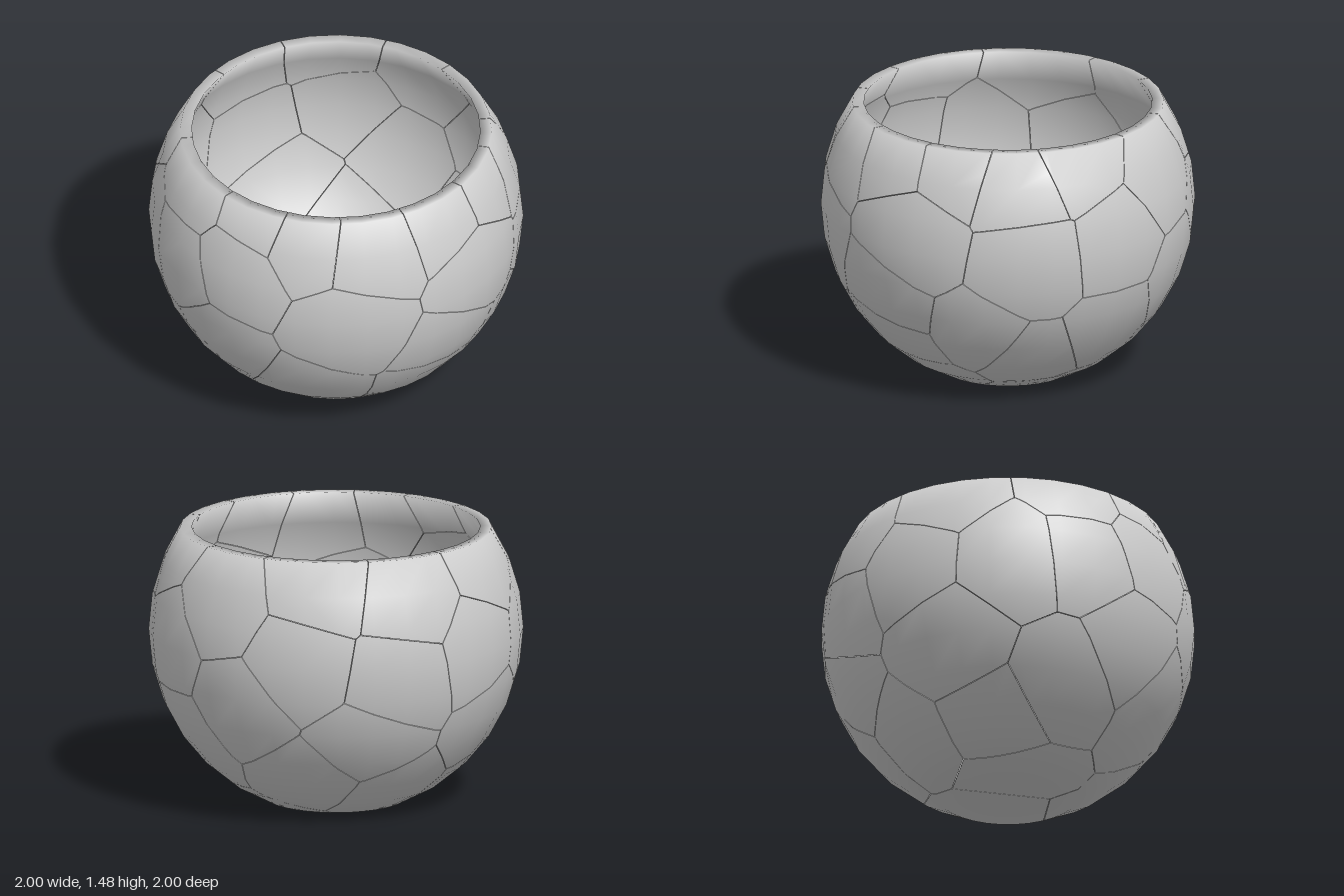
import * as THREE from 'three';

const SEG = 32, STEP = Math.PI / 16;
const CENTRE = 0.924, TOP = 1.48, INNER = 0.95, GAP = 0.0015;

// Middle point of every shard, upper rim to base
const SEEDS = [
  // rim
  [-0.6, 1.42, 0.55], [-0.25, 1.46, 0.8], [0.03, 1.4, 0.88], [0.38, 1.36, 0.82], [0.72, 1.44, 0.5],
  [0.83, 1.44, 0.18], [0.88, 1.36, -0.2], [0.72, 1.45, -0.44], [0.32, 1.23, -0.9], [-0.24, 1.37, -0.86],
  [-0.68, 1.29, -0.63], [-0.88, 1.38, -0.08],
  // belly
  [-0.36, 1.14, 0.91], [-0.72, 1.0, 0.69], [0.28, 0.86, 0.96], [0.9, 1.0, 0.42], [0.95, 0.87, -0.27],
  [0.69, 0.93, -0.72], [-0.16, 0.95, -0.98], [-0.67, 0.85, -0.74], [-0.96, 0.98, -0.27], [-0.94, 0.95, 0.3],
  // lower wall
  [-0.42, 0.57, 0.83], [0.02, 0.36, 0.82], [-0.6, 0.3, 0.5], [0.75, 0.57, 0.55], [0.62, 0.33, 0.5],
  [0.85, 0.43, 0.03], [0.73, 0.3, -0.22], [0.6, 0.44, -0.64], [0.2, 0.66, -0.94], [-0.47, 0.46, -0.75],
  [-0.9, 0.5, -0.06],
  // base
  [0.42, 0.1, 0.36], [-0.14, 0.24, -0.72], [-0.47, 0.14, -0.41], [-0.61, 0.14, 0.11], [0.2, -0.06, -0.15],
  [-0.22, -0.05, 0.1],
].map(([x, y, z]) => new THREE.Vector3(x, y - CENTRE, z).normalize());

// Wall section: outer and inner points [r, y] with their normals, from rim to base middle
function section() {
  const rows = [];
  for (let k = 3; k >= -6; k--) {
    const c = Math.cos(k * STEP), s = Math.sin(k * STEP);
    const n = new THREE.Vector2(c, s), m = new THREE.Vector2(-c, -s);
    let inner = [INNER * c, CENTRE + INNER * s];
    if (k === 3) {
      n.y += 0.7; m.y += 0.9;
      inner = [0.77, TOP];
    }
    if (k === -6) { n.y -= 0.6; m.y += 0.6; }
    rows.push({ o: [c, k === 3 ? TOP : Math.max(0, CENTRE + s)], i: inner, n: n.normalize(), m: m.normalize() });
  }
  const edge = rows[rows.length - 1];
  edge.o[1] = 0;
  for (const t of [0.5, 0]) {
    rows.push({
      o: [edge.o[0] * t, 0], i: [edge.i[0] * t, edge.i[1]],
      n: new THREE.Vector2(0, -1), m: new THREE.Vector2(0, 1),
    });
  }
  return rows;
}

// A wall vertex holds outer point, inner point and both normals
function wallVertex(row, lon) {
  const a = lon * 2 * Math.PI / SEG, s = Math.sin(a), c = Math.cos(a);
  const spin = (r, y) => new THREE.Vector3(r * s, y, r * c);
  return { o: spin(...row.o), i: spin(...row.i), n: spin(row.n.x, row.n.y), m: spin(row.m.x, row.m.y) };
}

const mix = (a, b, t) => ({
  o: a.o.clone().lerp(b.o, t), i: a.i.clone().lerp(b.i, t),
  n: a.n.clone().lerp(b.n, t).normalize(), m: a.m.clone().lerp(b.m, t).normalize(),
});

const side = (plane, v) => plane.x * v.o.x + plane.y * (v.o.y - CENTRE) + plane.z * v.o.z - GAP;

// Keep the part of a convex polygon in front of a plane
function clip(poly, plane) {
  const out = [];
  poly.forEach((a, k) => {
    const b = poly[(k + 1) % poly.length];
    const da = side(plane, a), db = side(plane, b);
    if (da >= 0) out.push(a);
    if ((da > 0 && db < 0) || (da < 0 && db > 0)) out.push(mix(a, b, da / (da - db)));
  });
  return out;
}

function shardGeometry(seed, cells) {
  const planes = SEEDS.filter((s) => s !== seed).map((s) => seed.clone().sub(s).normalize());
  const pos = [], nor = [];
  const tri = (points, normals) => points.forEach((p, k) => {
    pos.push(p.x, p.y, p.z);
    nor.push(normals[k].x, normals[k].y, normals[k].z);
  });

  for (const cell of cells) {
    let poly = cell;
    for (const plane of planes) {
      poly = clip(poly, plane);
      if (poly.length < 3) break;
    }
    if (poly.length < 3) continue;

    // outer and inner faces
    for (let k = 1; k < poly.length - 1; k++) {
      const a = poly[0], b = poly[k], c = poly[k + 1];
      tri([a.o, b.o, c.o], [a.n, b.n, c.n]);
      tri([a.i, c.i, b.i], [a.m, c.m, b.m]);
    }

    // rim and broken edges
    poly.forEach((a, k) => {
      const b = poly[(k + 1) % poly.length];
      if (a.o.distanceTo(b.o) < 1e-6) return;
      const rim = a.o.y > TOP - 1e-5 && b.o.y > TOP - 1e-5;
      const broken = planes.some((p) => Math.abs(side(p, a)) < 1e-6 && Math.abs(side(p, b)) < 1e-6);
      if (!rim && !broken) return;
      const flat = b.i.clone().sub(a.o).cross(b.o.clone().sub(a.i)).normalize();
      if (flat.dot(a.i.clone().sub(a.o).cross(b.i.clone().sub(a.o))) < 0) flat.negate();
      const [an, am, bm, bn] = rim ? [a.n, a.m, b.m, b.n] : [flat, flat, flat, flat];
      tri([a.o, a.i, b.i], [an, am, bm]);
      tri([a.o, b.i, b.o], [an, bm, bn]);
    });
  }

  const geometry = new THREE.BufferGeometry();
  geometry.setAttribute('position', new THREE.Float32BufferAttribute(pos, 3));
  geometry.setAttribute('normal', new THREE.Float32BufferAttribute(nor, 3));
  return geometry;
}

export function createModel() {
  const model = new THREE.Group();
  model.name = 'crackedBowl';
  const material = new THREE.MeshStandardMaterial({ color: 0xcccccc });

  // Whole bowl wall as a ring grid of cells
  const rows = section(), cells = [];
  for (let r = 0; r < rows.length - 1; r++) {
    for (let k = 0; k < SEG; k++) {
      cells.push([
        wallVertex(rows[r + 1], k), wallVertex(rows[r + 1], k + 1),
        wallVertex(rows[r], k + 1), wallVertex(rows[r], k),
      ]);
    }
  }

  // Break it into shards
  SEEDS.forEach((seed, k) => {
    const shard = new THREE.Mesh(shardGeometry(seed, cells), material);
    shard.name = `bowlShard${k + 1}`;
    model.add(shard);
  });
  return model;
}
